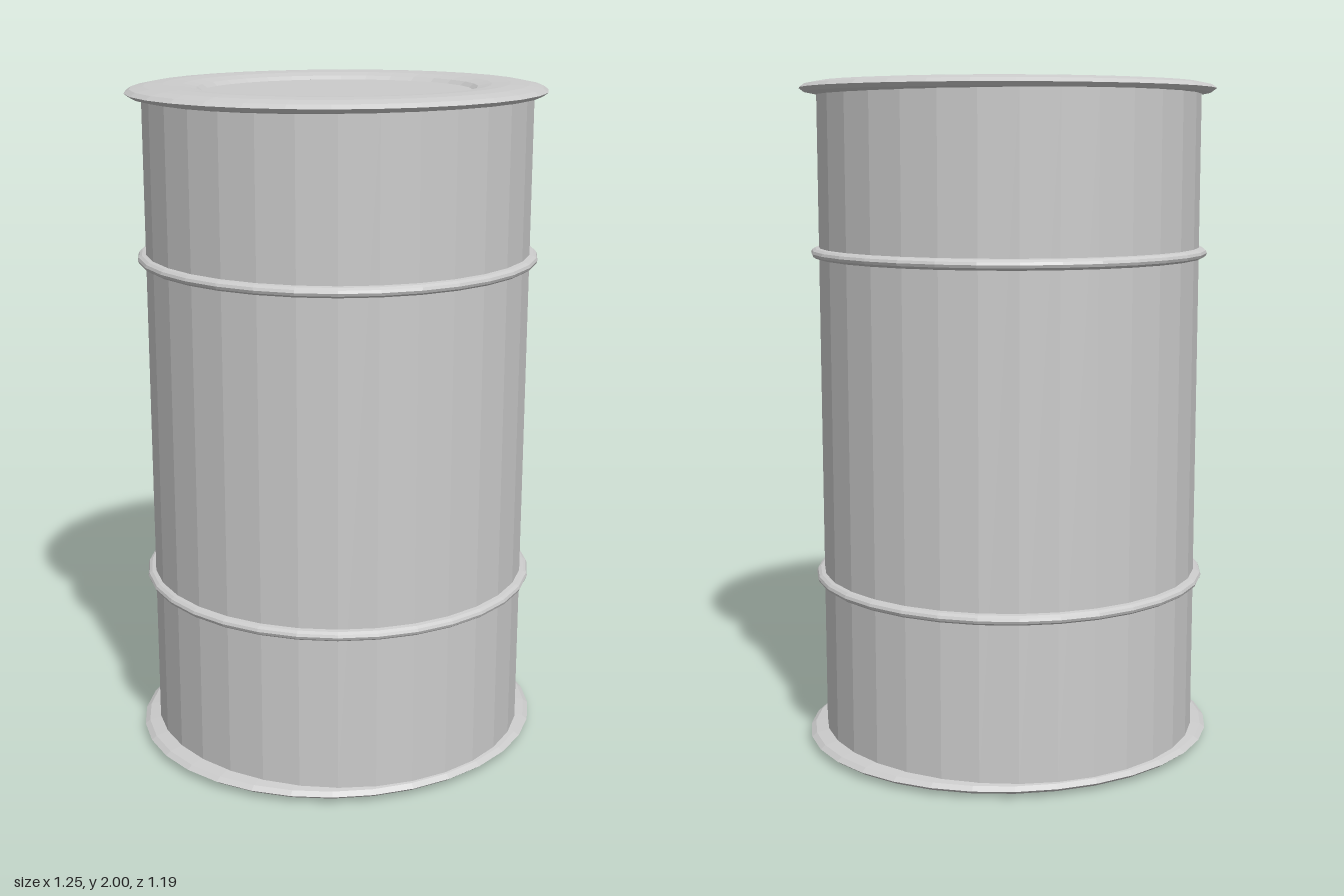
import * as THREE from 'three';

const SIDES = 32;
const material = new THREE.MeshStandardMaterial({ color: 0xcccccc, flatShading: true });

// Horizontal ring with an elliptical tube; squash narrows it front to back
function makeRing(name, radius, tubeWidth, tubeHeight, y, squash = 1) {
  const geometry = new THREE.TorusGeometry(radius, tubeWidth, 12, SIDES);
  geometry.rotateX(-Math.PI / 2);
  geometry.scale(1, tubeHeight / tubeWidth, squash);
  const ring = new THREE.Mesh(geometry, material);
  ring.name = name;
  ring.position.y = y;
  return ring;
}

export function createModel() {
  const group = new THREE.Group();
  group.name = 'barrel';

  // Straight drum wall, closed by the end discs
  const bottom = 0.022, top = 1.978;
  const body = new THREE.Mesh(
    new THREE.CylinderGeometry(0.57, 0.57, top - bottom, SIDES), material);
  body.name = 'body';
  body.position.y = (top + bottom) / 2;
  group.add(body);

  // Wide flattened rims framing the recessed end discs
  group.add(makeRing('bottomRim', 0.5125, 0.1125, 0.022, bottom, 0.945));
  group.add(makeRing('topRim', 0.5125, 0.1125, 0.022, top, 0.945));

  // Thin reinforcing hoops around the wall
  group.add(makeRing('lowerHoop', 0.57, 0.024, 0.016, 0.515));
  group.add(makeRing('upperHoop', 0.57, 0.024, 0.016, 1.497));

  return group;
}
